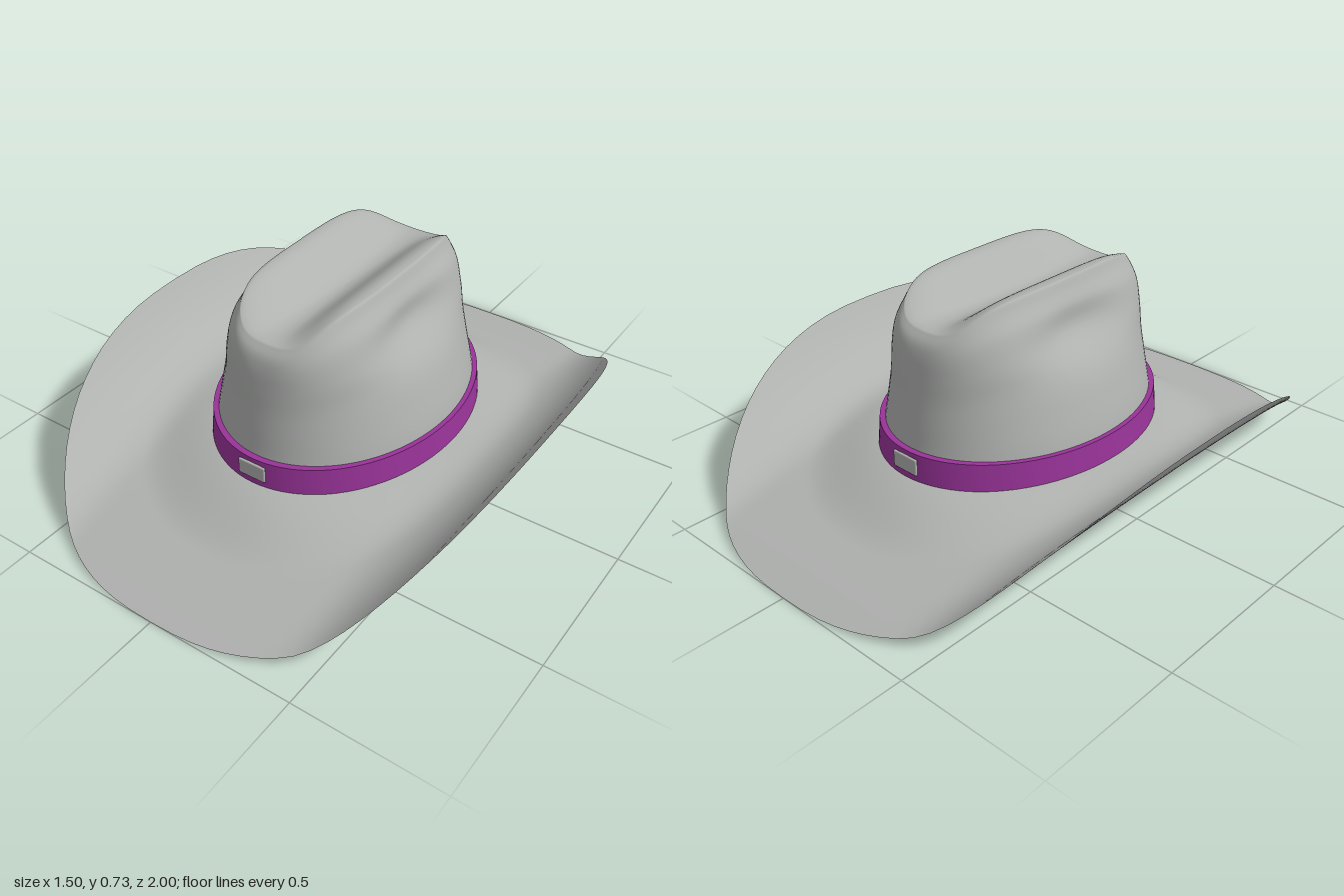
import * as THREE from 'three';
import { RoundedBoxGeometry } from 'three/addons/geometries/RoundedBoxGeometry.js';

const { lerp, smoothstep, clamp } = THREE.MathUtils;
const SEGMENTS = 96;

// point on a superellipse with half-widths a (x) and b (z)
function oval(angle, a, b, n) {
  const c = Math.cos(angle), s = Math.sin(angle);
  return [
    a * Math.sign(c) * Math.abs(c) ** (2 / n),
    b * Math.sign(s) * Math.abs(s) ** (2 / n),
  ];
}

// closed rings of points joined into a smooth surface, from inside/top to outside/bottom
function ringSurface(rows, point) {
  const positions = [], index = [];
  for (let i = 0; i < rows; i++) {
    for (let j = 0; j < SEGMENTS; j++) {
      positions.push(...point(i, (j / SEGMENTS) * Math.PI * 2));
      if (i === rows - 1) continue;
      const k = (j + 1) % SEGMENTS;
      const a = i * SEGMENTS + j, b = i * SEGMENTS + k;
      index.push(a, b, a + SEGMENTS, b, b + SEGMENTS, a + SEGMENTS);
    }
  }
  const g = new THREE.BufferGeometry();
  g.setAttribute('position', new THREE.Float32BufferAttribute(positions, 3));
  g.setIndex(index);
  g.computeVertexNormals();
  return g;
}

// saddle-shaped brim: drops to front and back, curls up at the sides
function brimHeight(x, z, t) {
  const ax = Math.abs(x);
  const curl = 0.225 * (Math.max(0, ax - 0.4) / 0.35) ** 2.7;
  const droop = 0.172 * Math.abs(z) ** 1.7 * (1 - smoothstep(ax, 0.4, 0.75));
  const y = 0.175 + curl - droop;
  // blend up to the foot of the crown
  return y + (0.197 - y) * (1 - smoothstep(t, -0.15, 0.5)) * 1.05;
}

function brimGeometry() {
  const rows = 33;
  return ringSurface(rows, (i, angle) => {
    const t = i / (rows - 1);
    const [xi, zi] = oval(angle, 0.388, 0.503, 2);
    const [xo, zo] = oval(angle, 0.75, 1, 2.5);
    const x = lerp(xi, xo, t), z = lerp(zi, zo, t);
    return [x, brimHeight(x, z, t), z];
  });
}

// top of the crown: a long valley between two ridges
function topHeight(x, z) {
  const side = Math.sin((Math.PI / 2) * clamp(Math.abs(x) / 0.175, 0, 1)) ** 2;
  const along = Math.max(0, 1 - Math.abs(z / 0.43) ** 5);
  return 0.645 + 0.092 * side * along;
}

function crownGeometry() {
  // wall profile: height fraction, half-width, half-length
  const wall = new THREE.CatmullRomCurve3([
    [1, 0.19, 0.415], [0.94, 0.208, 0.44], [0.85, 0.25, 0.455], [0.7, 0.293, 0.465],
    [0.55, 0.318, 0.472], [0.4, 0.345, 0.48], [0.2, 0.376, 0.49], [0, 0.39, 0.505],
  ].map((p) => new THREE.Vector3(...p)));
  const capRows = 20, wallRows = 36, foot = 0.18;
  return ringSurface(capRows + wallRows, (i, angle) => {
    const [rx, rz] = oval(angle, 0.19, 0.415, 3.2);
    if (i < capRows) {
      const s = i / capRows;
      return [rx * s, topHeight(rx * s, rz * s), rz * s];
    }
    const p = wall.getPoint((i - capRows) / (wallRows - 1));
    const v = clamp(p.x, 0, 1);
    let [x, z] = oval(angle, p.y, p.z, 2 + 1.2 * v ** 4);
    const y = lerp(foot, topHeight(rx, rz), v);
    // pinched hollow in each side
    const dent = 0.055 * Math.exp(-(((y - 0.59) / 0.075) ** 2) - (z / 0.21) ** 2);
    x -= Math.sign(x) * Math.min(Math.abs(x), dent * Math.abs(Math.cos(angle)));
    return [x, y, z];
  });
}

// band profile: half-width, half-length, height (repeated row keeps the edge crisp)
function bandGeometry() {
  const profile = [
    [0.372, 0.485, 0.277], [0.394, 0.51, 0.277], [0.394, 0.51, 0.277], [0.402, 0.517, 0.188],
  ];
  return ringSurface(profile.length, (i, angle) => {
    const [a, b, y] = profile[i];
    const [x, z] = oval(angle, a, b, 2);
    return [x, y, z];
  });
}

export function createModel() {
  const felt = new THREE.MeshStandardMaterial({ color: 0xb0b2b0, side: THREE.DoubleSide });
  felt.name = 'grey felt';
  const ribbon = new THREE.MeshStandardMaterial({ color: 0x993399, side: THREE.DoubleSide });
  ribbon.name = 'purple ribbon';

  const hat = new THREE.Group();
  hat.name = 'hat';
  const add = (name, geometry, material) => {
    const mesh = new THREE.Mesh(geometry, material);
    mesh.name = name;
    hat.add(mesh);
    return mesh;
  };

  add('brim', brimGeometry(), felt);
  add('crown', crownGeometry(), felt);
  add('band', bandGeometry(), ribbon);

  // small plates on the band, front and back
  for (const [name, side] of [['frontBuckle', 1], ['backBuckle', -1]]) {
    const plate = new RoundedBoxGeometry(0.1, 0.056, 0.0098, 3, 0.0045);
    add(name, plate, felt).position.set(0, 0.236, side * 0.515);
  }
  return hat;
}
